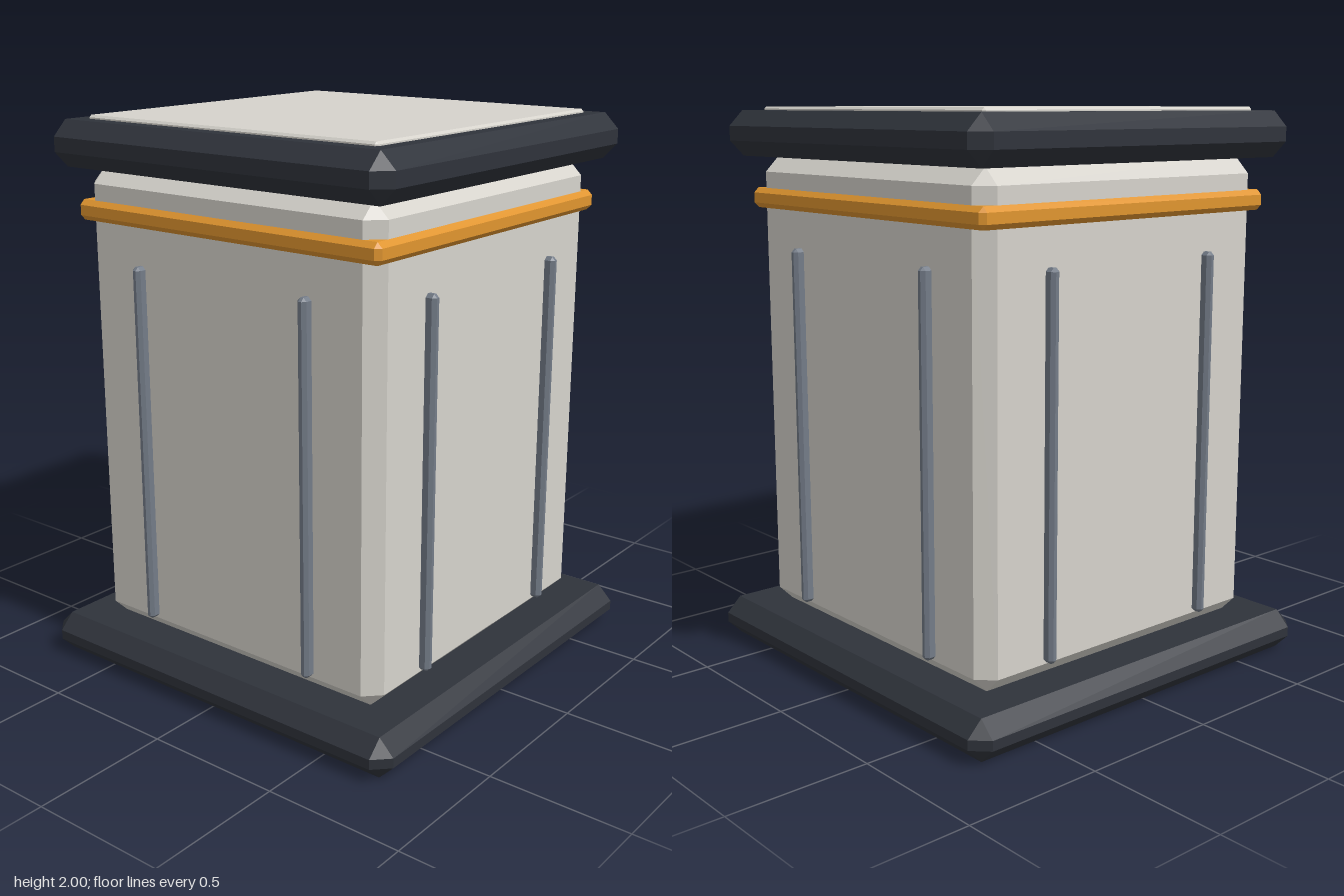
import * as THREE from 'three';
import { ConvexGeometry } from 'three/addons/geometries/ConvexGeometry.js';

// Box with flat 45 degree chamfers on every edge and corner
function chamferBox(w, h, d, c) {
  const points = [];
  for (const sx of [-1, 1]) for (const sy of [-1, 1]) for (const sz of [-1, 1]) {
    const x = w / 2, y = h / 2, z = d / 2;
    for (const [a, b, e] of [[0, c, c], [c, 0, c], [c, c, 0]]) {
      points.push(new THREE.Vector3(sx * (x - a), sy * (y - b), sz * (z - e)));
    }
  }
  return new ConvexGeometry(points);
}

export function createModel() {
  const group = new THREE.Group();
  const paint = (color) => new THREE.MeshStandardMaterial({ color, flatShading: true });
  const stone = paint(0xd6d3cc);
  const dark = paint(0x2f333b);
  const amber = paint(0xe0952f);
  const steel = paint(0x737b87);

  // Square slab between two heights
  function slab(name, half, y0, y1, chamfer, material) {
    const mesh = new THREE.Mesh(chamferBox(half * 2, y1 - y0, half * 2, chamfer), material);
    mesh.name = name;
    mesh.position.y = (y0 + y1) / 2;
    group.add(mesh);
  }

  slab('base', 0.78, 0, 0.145, 0.055, dark);
  slab('body', 0.635, 0.145, 1.825, 0.055, stone);
  slab('band', 0.653, 1.64, 1.712, 0.018, amber);
  slab('cap', 0.725, 1.825, 1.987, 0.055, dark);
  slab('topPanel', 0.616, 1.96, 2, 0.008, stone);

  // Two upright ribs on each of the four faces
  const ribGeometry = chamferBox(0.036, 1.305, 0.07, 0.012);
  for (let i = 0; i < 4; i++) {
    const side = new THREE.Group();
    side.name = 'sideRibs';
    side.rotation.y = i * Math.PI / 2;
    for (const s of [-1, 1]) {
      const rib = new THREE.Mesh(ribGeometry, steel);
      rib.name = 'rib';
      rib.position.set(s * 0.364, 0.858, 0.635);
      side.add(rib);
    }
    group.add(side);
  }
  return group;
}
